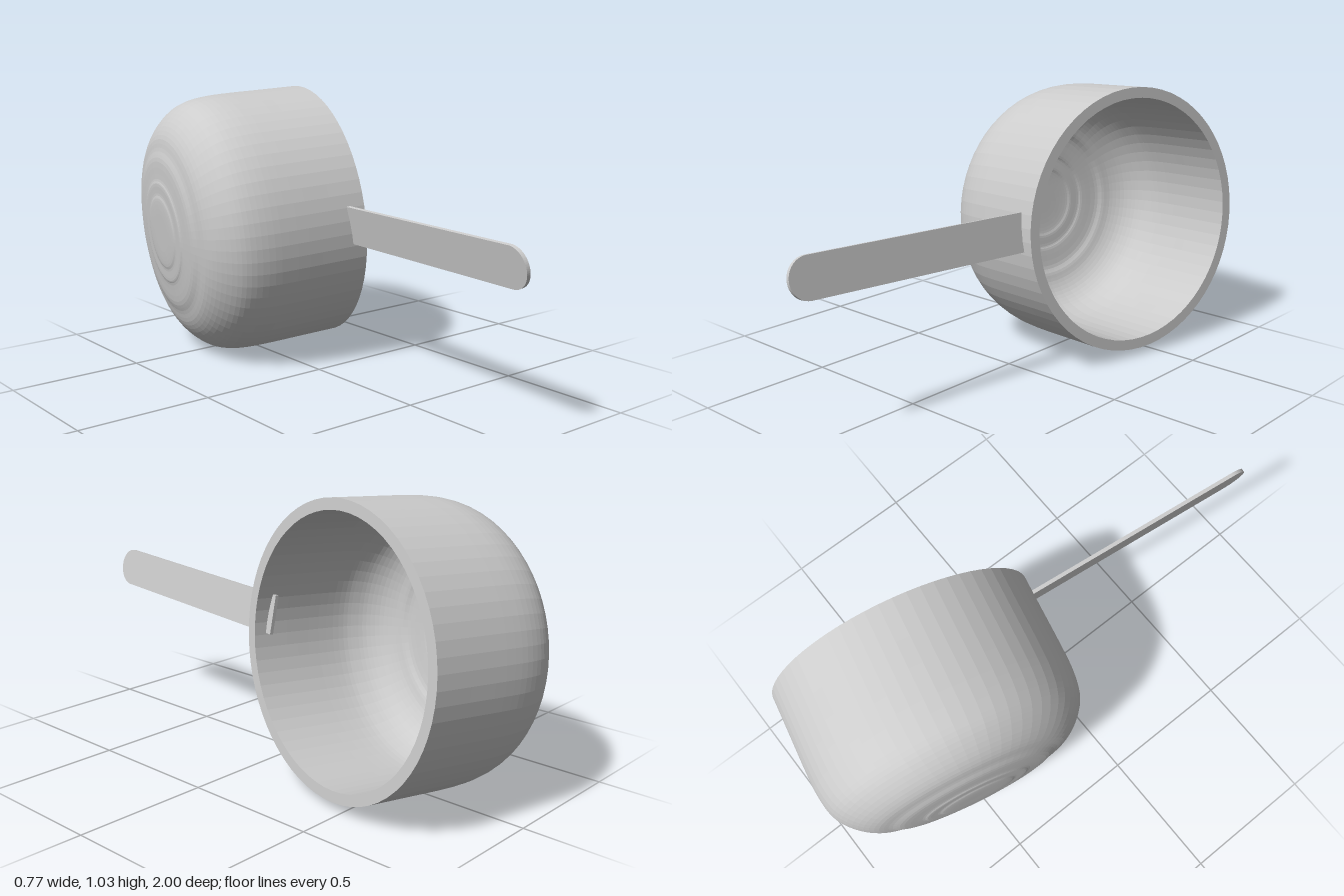
import * as THREE from 'three';

const steel = new THREE.MeshStandardMaterial({ color: 0xcccccc, flatShading: true });
steel.name = 'steel';

// smooth run of profile points [radius, height below the rim]
function run(points, steps) {
  const curve = new THREE.SplineCurve(points.map(([r, d]) => new THREE.Vector2(r, -d)));
  return curve.getPoints(steps).map((p) => new THREE.Vector2(Math.max(p.x, 0), p.y));
}

// hollow bowl with a rippled base, turned around +y with the rim at y = 0
function makeBowl() {
  const outside = run([
    [0, 0.634], [0.08, 0.634], [0.13, 0.632], [0.15, 0.628], [0.19, 0.627], [0.21, 0.622],
    [0.28, 0.615], [0.32, 0.602], [0.37, 0.588], [0.42, 0.557], [0.465, 0.51], [0.49, 0.46],
    [0.503, 0.39], [0.506, 0.3], [0.505, 0.15], [0.504, 0],
  ], 48);
  const inside = run([
    [0.464, 0], [0.465, 0.15], [0.466, 0.3], [0.462, 0.39], [0.45, 0.44], [0.43, 0.485],
    [0.395, 0.525], [0.35, 0.552], [0.31, 0.564], [0.28, 0.576], [0.21, 0.583], [0.19, 0.588],
    [0.15, 0.589], [0.13, 0.593], [0.08, 0.595], [0, 0.595],
  ], 48);
  const bowl = new THREE.Mesh(new THREE.LatheGeometry([...outside, ...inside], 64), steel);
  bowl.name = 'bowl';
  bowl.position.set(0.275, 0.533, -0.42);
  const axis = new THREE.Vector3(0.975, 0.073, 0.209).normalize();
  bowl.quaternion.setFromUnitVectors(new THREE.Vector3(0, 1, 0), axis);
  return bowl;
}

// flat strap with a rounded tip, its inner end poking through the bowl wall
function makeHandle() {
  const inner = new THREE.Vector3(0.118, 0.552, -0.005);
  const tip = new THREE.Vector3(0, 0.567, 1);
  const length = inner.distanceTo(tip);
  const half = 0.072, thickness = 0.014;

  const shape = new THREE.Shape();
  shape.moveTo(-half, 0);
  shape.lineTo(half, 0);
  shape.lineTo(half, length - half);
  shape.absarc(0, length - half, half, 0, Math.PI, false);
  shape.closePath();
  const geometry = new THREE.ExtrudeGeometry(shape, {
    depth: thickness, bevelEnabled: false, curveSegments: 16,
  });
  geometry.translate(0, 0, -thickness / 2);

  const along = tip.clone().sub(inner).normalize();
  const face = new THREE.Vector3().crossVectors(new THREE.Vector3(0.027, -0.145, 0), along).normalize();
  const across = new THREE.Vector3().crossVectors(along, face);
  const handle = new THREE.Mesh(geometry, steel);
  handle.name = 'handle';
  handle.quaternion.setFromRotationMatrix(new THREE.Matrix4().makeBasis(across, along, face));
  handle.position.copy(inner);
  return handle;
}

export function createModel() {
  const group = new THREE.Group();
  group.name = 'saucepan';
  group.add(makeBowl(), makeHandle());
  return group;
}
